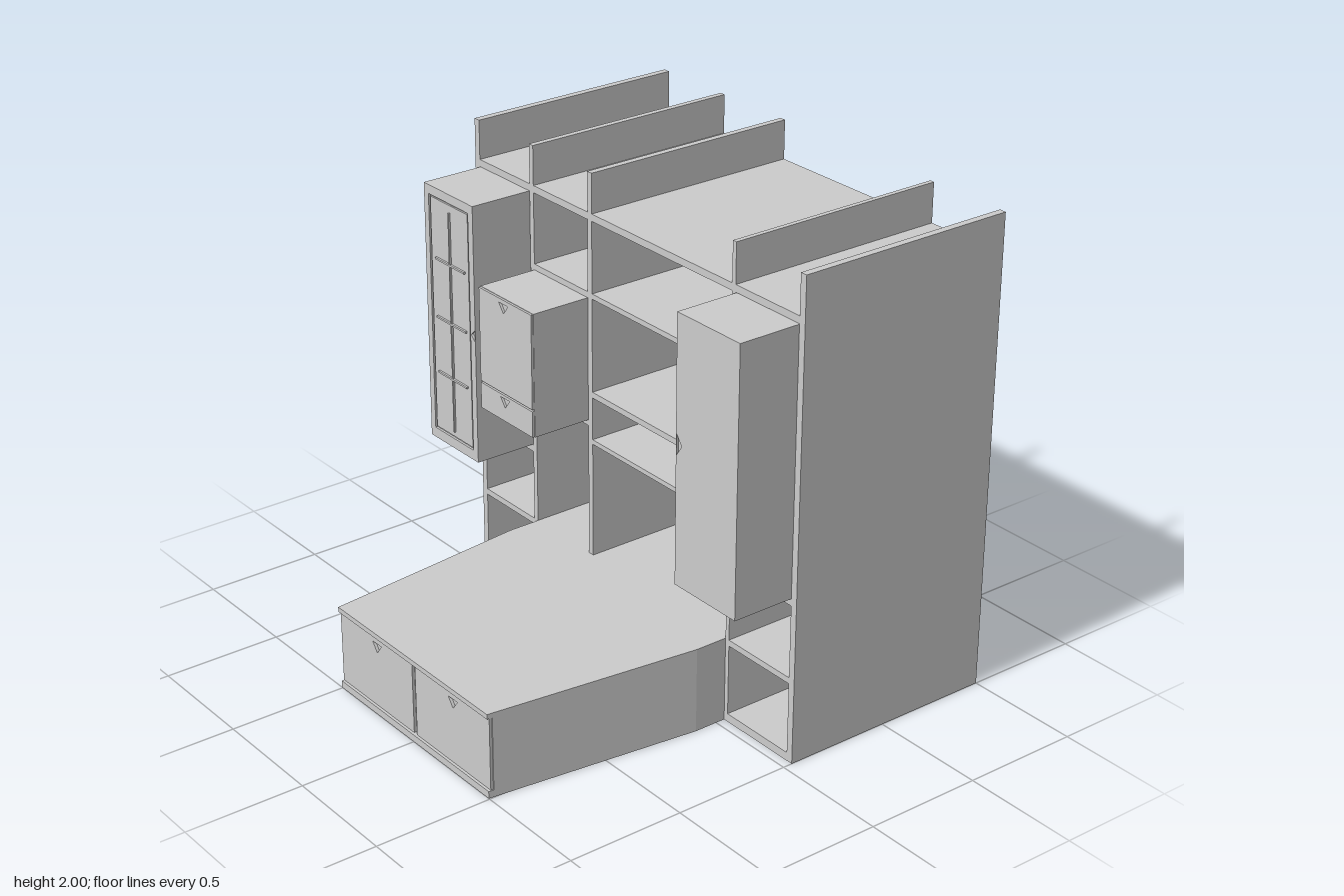
import * as THREE from 'three';

const material = new THREE.MeshStandardMaterial({ color: 0xcccccc, flatShading: true });
const BACK = -1, FRONT = -0.04, DOOR_FRONT = 0.23, DOOR_T = 0.01;

export function createModel() {
  const model = new THREE.Group();

  function add(name, geometry) {
    const mesh = new THREE.Mesh(geometry, material);
    mesh.name = name;
    model.add(mesh);
    return mesh;
  }

  // Box given by its limits on each axis
  function box(name, x0, x1, y0, y1, z0 = BACK, z1 = FRONT) {
    const g = new THREE.BoxGeometry(x1 - x0, y1 - y0, z1 - z0);
    g.translate((x0 + x1) / 2, (y0 + y1) / 2, (z0 + z1) / 2);
    return add(name, g);
  }

  const outline = (points) => points.map(([x, y]) => new THREE.Vector2(x, y));
  const rect = (x0, x1, y0, y1) => outline([[x0, y0], [x1, y0], [x1, y1], [x0, y1]]);
  const gripDown = (x, y, w = 0.06, h = 0.04) =>
    outline([[x - w / 2, y + h / 2], [x, y - h / 2], [x + w / 2, y + h / 2]]);

  // Front panel with cut-outs, its face ending at z
  function panel(name, x0, x1, y0, y1, z, holes = [], thickness = DOOR_T) {
    const shape = new THREE.Shape(rect(x0, x1, y0, y1));
    holes.forEach((h) => shape.holes.push(new THREE.Path(h)));
    const g = new THREE.ExtrudeGeometry(shape, { depth: thickness, bevelEnabled: false });
    g.translate(0, 0, z - thickness);
    return add(name, g);
  }

  // Uprights: the third one stands on the base unit
  [[-1, -0.97, 0], [-0.635, -0.61, 0], [-0.262, -0.235, 0.36], [0.6, 0.62, 0], [0.97, 1, 0]]
    .forEach(([x0, x1, y0]) => box('upright', x0, x1, y0, 2));

  // Top shelf, one board per bay
  [[-0.97, -0.635], [-0.61, -0.262], [-0.235, 0.6], [0.62, 0.97]]
    .forEach(([x0, x1]) => box('topShelf', x0, x1, 1.805, 1.835));

  // Shelves of the two outer bays
  [[-0.97, -0.635], [0.62, 0.97]].forEach(([x0, x1]) => {
    [[0, 0.035], [0.337, 0.363], [0.67, 0.7]]
      .forEach(([y0, y1]) => box('sideShelf', x0, x1, y0, y1));
  });

  // Shelves of the wide centre bay
  [[0.86, 0.88], [1.062, 1.087], [1.483, 1.505]]
    .forEach(([y0, y1]) => box('centreShelf', -0.235, 0.6, y0, y1));

  // Shelves above and below the small cabinet
  box('smallCabinetTopShelf', -0.61, -0.262, 1.48, 1.505);
  box('smallCabinetBottomShelf', -0.61, -0.262, 0.932, 0.957);

  const BODY_FRONT = DOOR_FRONT - DOOR_T;

  // Left tall cabinet with a recessed, barred door
  box('leftCabinet', -0.97, -0.64, 0.7, 1.803, BACK, BODY_FRONT);
  const leftGrip = outline([[-0.642, 1.28], [-0.668, 1.255], [-0.642, 1.23]]);
  panel('leftDoorFrame', -0.97, -0.64, 0.7, 1.803, DOOR_FRONT,
    [rect(-0.94, -0.672, 0.743, 1.765), leftGrip]);
  box('leftDoorPane', -0.932, -0.68, 0.752, 1.756, BODY_FRONT - 0.002, DOOR_FRONT - 0.003);
  box('doorBar', -0.804, -0.797, 0.775, 1.725, BODY_FRONT, DOOR_FRONT + 0.005);
  [1.01, 1.252, 1.505].forEach((y) =>
    box('doorBar', -0.9, -0.7, y - 0.004, y + 0.004, BODY_FRONT, DOOR_FRONT + 0.006));

  // Right tall cabinet with a plain door
  box('rightCabinet', 0.622, 0.97, 0.7, 1.803, BACK, BODY_FRONT);
  panel('rightDoor', 0.622, 0.97, 0.7, 1.803, DOOR_FRONT,
    [outline([[0.624, 1.325], [0.655, 1.28], [0.624, 1.235]])]);

  // Small cabinet with a door above a drawer
  box('smallCabinet', -0.61, -0.262, 0.957, 1.48, BACK, BODY_FRONT);
  panel('smallDoor', -0.608, -0.264, 1.078, 1.478, DOOR_FRONT, [gripDown(-0.445, 1.44)]);
  panel('smallDrawer', -0.608, -0.264, 0.959, 1.07, DOOR_FRONT, [gripDown(-0.445, 1.037)]);

  // Base unit: layers with a tapered plan, the middle one set back
  function baseLayer(name, y0, y1, z) {
    const inset = (z - 0.1) * 0.117;
    const shape = new THREE.Shape(outline([
      [-0.61, 1], [-0.61, -0.1], [-0.61 + inset, -z], [0.6 - inset, -z], [0.6, -0.1], [0.6, 1],
    ]));
    const g = new THREE.ExtrudeGeometry(shape, { depth: y1 - y0, bevelEnabled: false });
    g.rotateX(-Math.PI / 2);
    g.translate(0, y0, 0);
    return add(name, g);
  }
  baseLayer('baseBottom', 0, 0.03, 1);
  baseLayer('baseBody', 0.03, 0.342, 0.978);
  baseLayer('baseTop', 0.342, 0.363, 1);
  panel('baseDrawer', -0.504, -0.01, 0.032, 0.34, 0.99, [gripDown(-0.25, 0.292)], 0.012);
  panel('baseDrawer', 0.01, 0.494, 0.032, 0.34, 0.99, [gripDown(0.26, 0.292)], 0.012);

  return model;
}
